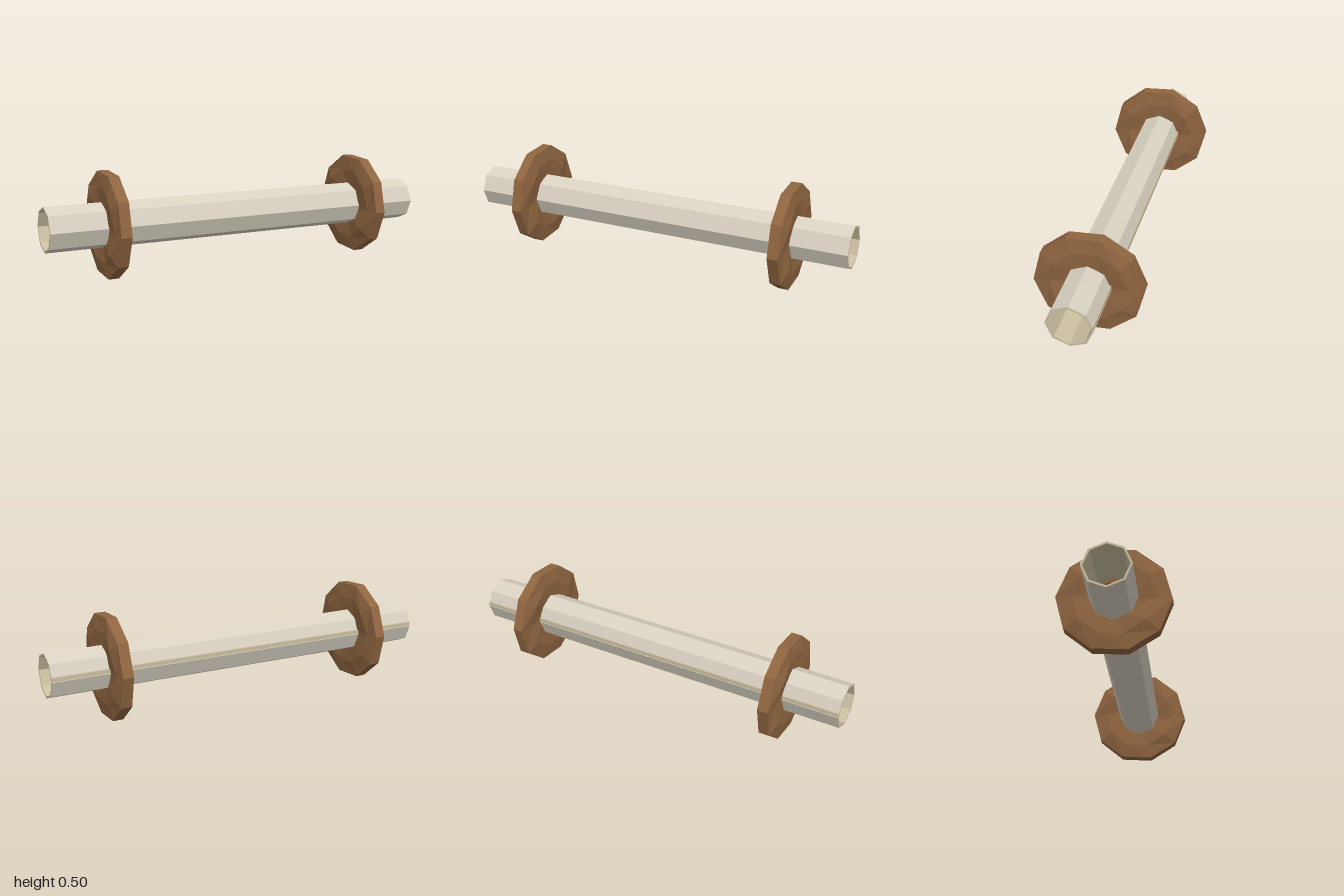
import * as THREE from 'three';

const AXIS_Y = 0.252;   // height of the roll's axis
const HALF = 1;         // half length of the roll

// Flat-shaded lathe turned about the x axis; profile points are [radius, along axis]
function turned(name, profile, sides, phiStart, material, reshape) {
  const points = profile.map(([r, a]) => new THREE.Vector2(r, a));
  const geometry = new THREE.LatheGeometry(points, sides, phiStart);
  if (reshape) reshape(geometry.attributes.position);
  geometry.rotateZ(Math.PI / 2);
  const mesh = new THREE.Mesh(geometry, material);
  mesh.name = name;
  mesh.position.y = AXIS_Y;
  return mesh;
}

// Swell the middle ring of a disc on its diagonals, giving a hand-carved wobble
function carve(position) {
  for (let i = 0; i < position.count; i++) {
    const x = position.getX(i), y = position.getY(i), z = position.getZ(i);
    const r = Math.hypot(x, z);
    if (r > 0.15 && r < 0.22) {
      position.setY(i, Math.sign(y) * (0.039 - 0.008 * Math.cos(4 * Math.atan2(x, z))));
    }
  }
}

export function createModel() {
  const group = new THREE.Group();
  group.name = 'rolledTube';
  const outer = new THREE.MeshStandardMaterial({ color: 0xd9d2c2, flatShading: true });
  const inner = new THREE.MeshStandardMaterial({ color: 0xcbbfa0, flatShading: true });
  const wood = new THREE.MeshStandardMaterial({ color: 0x8f6540, flatShading: true });

  // Octagonal tube: outside wall, then end rims with the inside wall
  group.add(turned('tubeWall', [[0.109, -HALF], [0.109, HALF]], 8, 0, outer));
  group.add(turned('tubeLining',
    [[0.109, HALF], [0.099, HALF], [0.099, -HALF], [0.109, -HALF]], 8, 0, inner));

  // Overlapping sheet edge along the back
  const seam = new THREE.Mesh(new THREE.BoxGeometry(2 * HALF, 0.02, 0.008), inner);
  seam.name = 'sheetEdge';
  seam.position.set(0, AXIS_Y + 0.012, -0.104);
  group.add(seam);

  // Ten-sided discs with a bore narrower than the tube
  const discProfile = [
    [0.079, -0.03], [0.185, -0.04], [0.259, -0.026],
    [0.259, 0.026], [0.185, 0.04], [0.079, 0.03], [0.079, -0.03],
  ];
  for (const [name, side] of [['leftDisc', 1], ['rightDisc', -1]]) {
    const disc = turned(name, discProfile, 10, THREE.MathUtils.degToRad(-4), wood, carve);
    disc.position.x = side * 0.692;
    group.add(disc);
  }
  return group;
}
